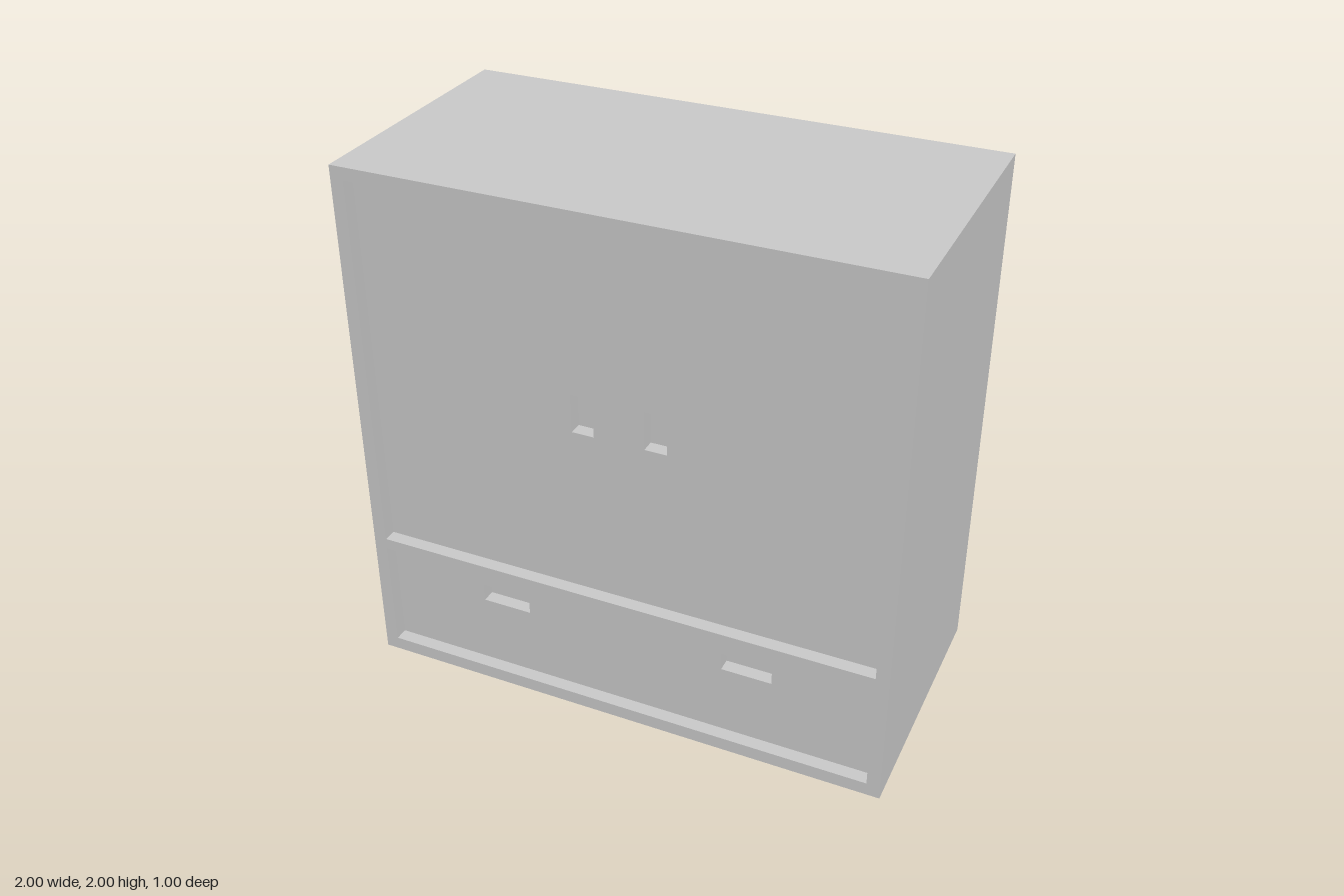
import * as THREE from 'three';

const WIDTH = 2, HEIGHT = 2, DEPTH = 1;
const FRONT = DEPTH / 2, PANEL = 0.45, GRIP = 0.4; // z of frame, panels and grip floors

const material = new THREE.MeshStandardMaterial({ color: 0xcccccc });

// Rectangle given as [x0, y0, x1, y1]
const door = [-0.95, 0.523, 0.95, 1.953];
const drawer = [-0.95, 0.051, 0.95, 0.479];
const mirrored = ([x0, y0, x1, y1]) => [[x0, y0, x1, y1], [-x1, y0, -x0, y1]];
const doorGrips = mirrored([0.093, 1.164, 0.175, 1.309]);
const drawerGrips = mirrored([0.381, 0.325, 0.57, 0.394]);

function trace(path, [x0, y0, x1, y1]) {
  path.moveTo(x0, y0);
  path.lineTo(x1, y0);
  path.lineTo(x1, y1);
  path.lineTo(x0, y1);
  path.closePath();
  return path;
}

function addMesh(parent, name, geometry) {
  const mesh = new THREE.Mesh(geometry, material);
  mesh.name = name;
  parent.add(mesh);
}

// Flat front-facing sheet with rectangular openings
function sheet(rect, holes, z) {
  const shape = trace(new THREE.Shape(), rect);
  shape.holes = holes.map((hole) => trace(new THREE.Path(), hole));
  return new THREE.ShapeGeometry(shape).translate(0, 0, z);
}

// Selected faces of a box (0 +x, 1 -x, 2 +y, 3 -y, 4 +z, 5 -z), optionally facing inward
function boxFaces([x0, y0, x1, y1], z0, z1, faces, inward = false) {
  const geometry = new THREE.BoxGeometry(x1 - x0, y1 - y0, z1 - z0);
  geometry.translate((x0 + x1) / 2, (y0 + y1) / 2, (z0 + z1) / 2);
  const all = Array.from(geometry.index.array);
  const index = faces.flatMap((f) => all.slice(f * 6, f * 6 + 6));
  geometry.clearGroups();
  geometry.setIndex(inward ? index.reverse() : index);
  geometry.computeVertexNormals();
  return geometry;
}

// Sunken panel with finger grips cut into it
function recessedPanel(name, rect, grips) {
  const group = new THREE.Group();
  group.name = name;
  addMesh(group, name + 'Reveal', boxFaces(rect, PANEL, FRONT, [0, 1, 2, 3], true));
  addMesh(group, name + 'Panel', sheet(rect, grips, PANEL));
  for (const grip of grips) {
    addMesh(group, name + 'Grip', boxFaces(grip, GRIP, PANEL, [0, 1, 2, 3, 5], true));
  }
  return group;
}

export function createModel() {
  const model = new THREE.Group();
  model.name = 'cabinet';
  const outline = [-WIDTH / 2, 0, WIDTH / 2, HEIGHT];

  // Carcass: sides, top, bottom and back, closed by the front frame
  addMesh(model, 'carcass', boxFaces(outline, -FRONT, FRONT, [0, 1, 2, 3, 5]));
  addMesh(model, 'frontFrame', sheet(outline, [door, drawer], FRONT));

  // Upper doors and lower drawer
  model.add(recessedPanel('door', door, doorGrips));
  model.add(recessedPanel('drawer', drawer, drawerGrips));
  return model;
}
